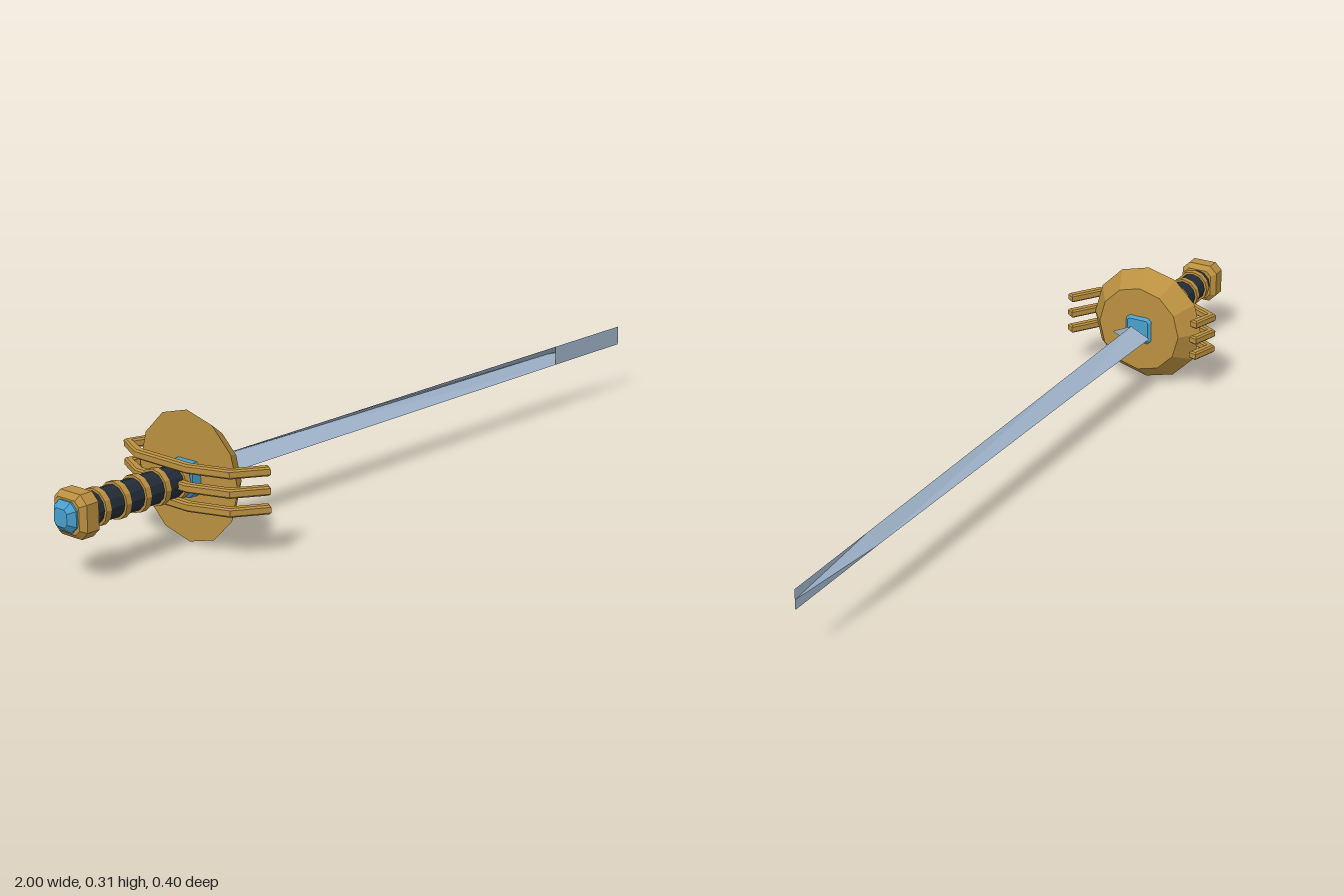
import * as THREE from 'three';

const CY = 0.154, CZ = -0.014; // axis of the sword, which runs along x

export function createModel() {
  const sword = new THREE.Group();
  sword.name = 'sword';
  const material = (name, color, side = THREE.FrontSide) => {
    const m = new THREE.MeshStandardMaterial({ color, side, flatShading: true });
    m.name = name;
    return m;
  };
  const gold = material('gold', 0xba9040);
  const dark = material('dark grip', 0x222c38);
  const blue = material('blue', 0x48a0cc);
  const steel = material('steel', 0x9fb3ca, THREE.DoubleSide);

  const add = (name, geometry, mat, y = CY, z = CZ) => {
    const mesh = new THREE.Mesh(geometry, mat);
    mesh.name = name;
    mesh.position.set(0, y, z);
    sword.add(mesh);
    return mesh;
  };

  // Block with cut corners and bevelled ends, running from x0 to x1
  const block = (name, x0, x1, half, cut, bevel, mat) => {
    const h = half - bevel, c = h - cut;
    const shape = new THREE.Shape(
      [[h, -c], [h, c], [c, h], [-c, h], [-h, c], [-h, -c], [-c, -h], [c, -h]]
        .map(([x, y]) => new THREE.Vector2(x, y)));
    const g = new THREE.ExtrudeGeometry(shape, {
      depth: x1 - x0 - 2 * bevel, bevelEnabled: true, bevelSegments: 1,
      bevelSize: bevel, bevelThickness: bevel,
    });
    g.translate(0, 0, x0 + bevel).rotateY(Math.PI / 2);
    return add(name, g, mat);
  };

  // Tapered cylinder along x, radius r0 at x0 and r1 at x1
  const round = (name, x0, x1, r0, r1, mat) => {
    const g = new THREE.CylinderGeometry(r1, r0, x1 - x0, 12);
    g.rotateZ(-Math.PI / 2).translate((x0 + x1) / 2, 0, 0);
    return add(name, g, mat);
  };

  // Handle
  block('pommelGem', -1.0, -0.95, 0.034, 0.008, 0.014, blue);
  block('pommel', -0.982, -0.925, 0.05, 0.012, 0.012, gold);
  round('grip', -0.93, -0.61, 0.037, 0.037, dark);
  for (let i = 0; i < 5; i++) {
    const x = -0.9 + i * 0.0585;
    round('gripRing', x - 0.008, x + 0.008, 0.043, 0.043, gold);
  }

  // Guard dish and its collar
  round('guard', -0.625, -0.573, 0.153, 0.113, gold);
  block('collar', -0.66, -0.566, 0.039, 0.005, 0.01, blue);

  // Three bent bars across the handle: centre line in x and z
  const path = [[-0.58, -0.168], [-0.64, -0.187], [-0.677, -0.115],
    [-0.681, 0.045], [-0.65, 0.14], [-0.58, 0.186]].map(([x, z]) => new THREE.Vector2(x, -z));
  const bevel = 0.004, halfWidth = 0.007;
  const offset = (side) => path.map((p, i) => {
    const before = p.clone().sub(path[Math.max(i - 1, 0)]).normalize();
    const after = path[Math.min(i + 1, path.length - 1)].clone().sub(p).normalize();
    const t = before.add(after).normalize();
    return new THREE.Vector2(p.x - t.y * side * halfWidth, p.y + t.x * side * halfWidth);
  });
  const barShape = new THREE.Shape([...offset(1), ...offset(-1).reverse()]);
  const barGeometry = new THREE.ExtrudeGeometry(barShape, {
    depth: 0.013, bevelEnabled: true, bevelSegments: 1, bevelSize: bevel, bevelThickness: bevel,
  });
  barGeometry.translate(0, 0, -0.0065).rotateX(-Math.PI / 2);
  for (const y of [0.198, 0.154, 0.111]) add('guardBar', barGeometry, gold, y, 0);

  // Blade: open V section whose ridge sinks towards the tip
  const h = 0.0245;
  const stations = [[-0.53, -0.052], [-0.18, -0.042], [0.72, -0.026], [1.0, -0.0005]];
  const points = [], index = [];
  stations.forEach(([x, ridge], i) => {
    points.push(x, h, 0, x, 0, ridge, x, -h, 0);
    if (i === 0) return;
    const a = 3 * (i - 1), b = 3 * i;
    for (const k of [0, 1]) {
      index.push(a + k, b + k, b + k + 1, a + k, b + k + 1, a + k + 1);
    }
  });
  index.push(6, 8, 11, 6, 11, 9); // flat face of the tip
  points.push(-0.53, 0, 0.052);
  index.push(0, 12, 2, 0, 2, 1); // diamond at the root
  const blade = new THREE.BufferGeometry();
  blade.setAttribute('position', new THREE.Float32BufferAttribute(points, 3));
  blade.setIndex(index);
  const flat = blade.toNonIndexed();
  flat.computeVertexNormals();
  add('blade', flat, steel);

  return sword;
}
